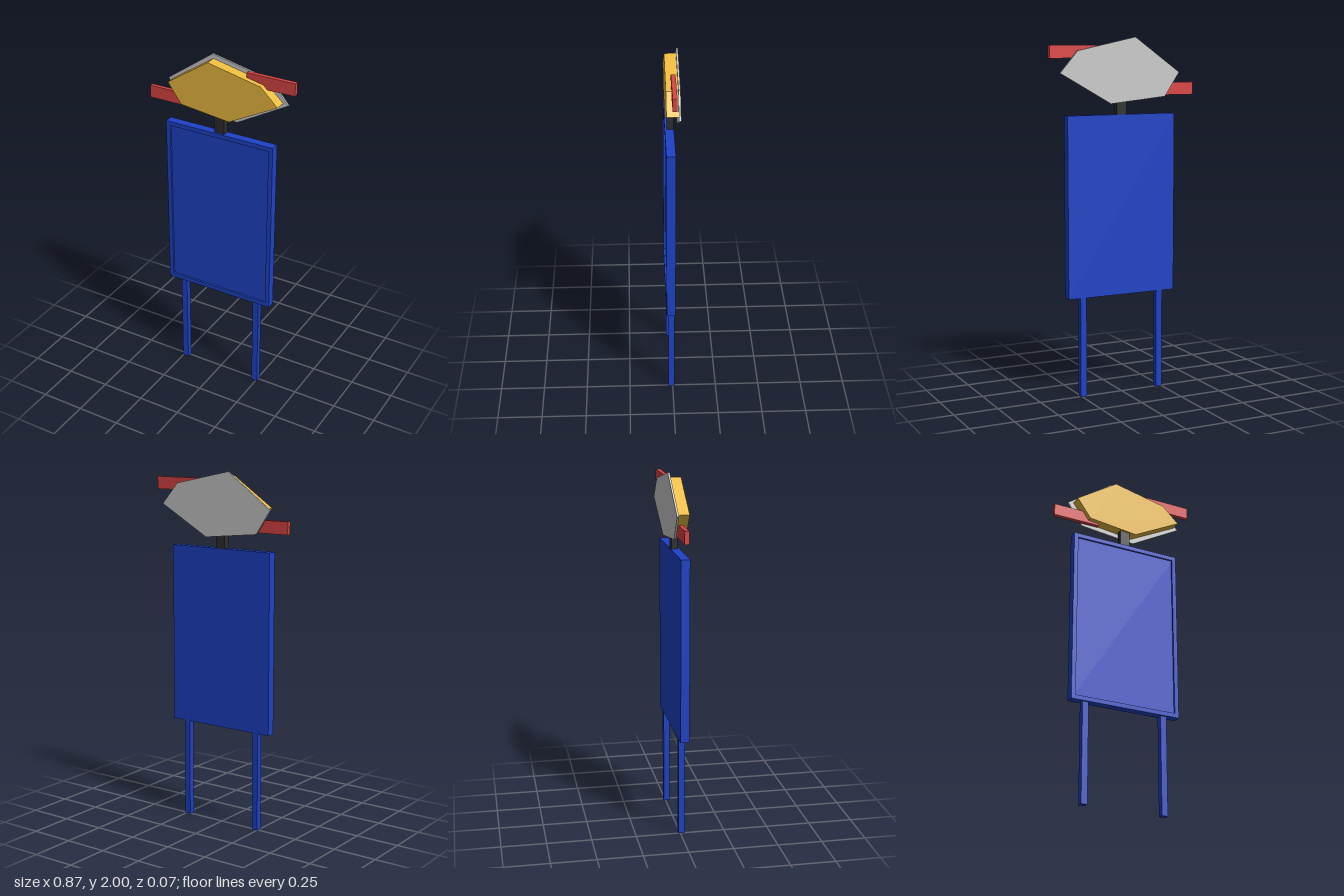
import * as THREE from 'three';

const material = (color) => new THREE.MeshStandardMaterial({ color, flatShading: true });

const shapeFrom = (points) => new THREE.Shape(points.map(([x, y]) => new THREE.Vector2(x, y)));

const rectPoints = (x0, x1, y0, y1) => [[x0, y0], [x1, y0], [x1, y1], [x0, y1]];

export function createModel() {
  const model = new THREE.Group();
  model.name = 'signBoard';

  const blue = material(0x1e42c6);
  const yellow = material(0xeebd40);
  const red = material(0xdb4544);
  const dark = material(0x2e2e2e);
  const grey = material(0xcccccc);

  const add = (name, geometry, mat) => {
    const mesh = new THREE.Mesh(geometry, mat);
    mesh.name = name;
    model.add(mesh);
    return mesh;
  };

  // Box given by its limits on each axis
  const addBox = (name, [x0, x1], [y0, y1], [z0, z1], mat) =>
    add(name, new THREE.BoxGeometry(x1 - x0, y1 - y0, z1 - z0), mat)
      .position.set((x0 + x1) / 2, (y0 + y1) / 2, (z0 + z1) / 2);

  // Flat outline extruded from z0 to z1
  const addSlab = (name, shape, z0, z1, mat) =>
    add(name, new THREE.ExtrudeGeometry(shape, { depth: z1 - z0, bevelEnabled: false }), mat)
      .position.z = z0;

  // Board: a back panel with a raised rim around its front
  const [left, right, bottom, top, rim] = [-0.324, 0.331, 0.566, 1.578, 0.025];
  addBox('boardPanel', [left, right], [bottom, top], [-0.013, 0.025], blue);
  const frame = shapeFrom(rectPoints(left, right, bottom, top));
  frame.holes.push(shapeFrom(rectPoints(left + rim, right - rim, bottom + rim, top - rim)));
  addSlab('boardFrame', frame, 0.025, 0.036, blue);

  // Two legs
  for (const [name, x] of [['rightLeg', -0.234], ['leftLeg', 0.24]]) {
    addBox(name, [x - 0.018, x + 0.018], [0, bottom], [-0.01, 0.024], blue);
  }

  // Short neck between the board and the head
  addBox('neck', [-0.026, 0.033], [top, 1.70], [-0.01, 0.025], dark);

  // Six-sided head with a thin, larger plate behind it
  addSlab('head', shapeFrom([
    [-0.061, 1.975], [-0.307, 1.81], [-0.225, 1.698],
    [0.068, 1.665], [0.352, 1.815], [0.253, 1.909],
  ]), -0.026, 0.036, yellow);
  addSlab('backPlate', shapeFrom([
    [-0.067, 2], [-0.34, 1.806], [-0.25, 1.673],
    [0.082, 1.639], [0.383, 1.808], [0.279, 1.927],
  ]), -0.037, -0.026, grey);

  // Arms sticking out on both sides
  addBox('leftArm', [0.155, 0.435], [1.887, 1.957], [-0.016, 0.008], red);
  addBox('rightArm', [-0.438, -0.158], [1.68, 1.75], [-0.016, 0.008], red);

  return model;
}
